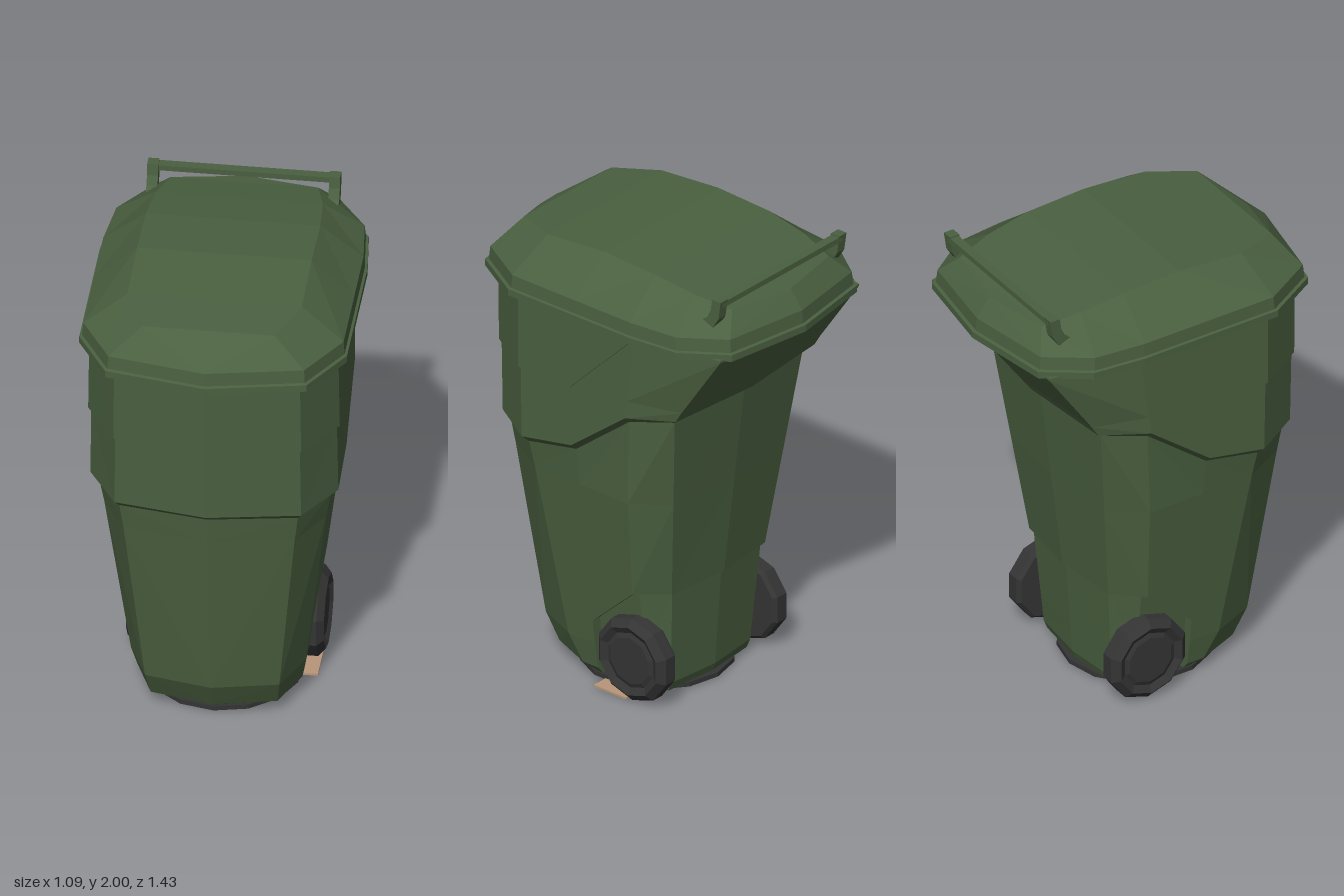
import * as THREE from 'three';

const paint = (name, color) => {
  const m = new THREE.MeshStandardMaterial({ color });
  m.name = name;
  return m;
};

// Linear interpolation through [y, value] pairs
function at(table, y) {
  for (let i = 1; i < table.length; i++) {
    const [y0, v0] = table[i - 1], [y1, v1] = table[i];
    if (y <= y1) return v0 + (v1 - v0) * Math.max(0, (y - y0) / (y1 - y0));
  }
  return table[table.length - 1][1];
}

// Faceted normals for any geometry
function faceted(geometry) {
  const g = geometry.index ? geometry.toNonIndexed() : geometry;
  g.computeVertexNormals();
  return g;
}

// Closed loft: each ring is a half outline from front centre round +x to back centre, mirrored
function loft(halfRings) {
  const rings = halfRings.map(h => {
    const pts = h.map(p => new THREE.Vector3(...p));
    const mirror = pts.slice(1, -1).reverse().map(p => new THREE.Vector3(-p.x, p.y, p.z));
    return [...pts, ...mirror];
  });
  const n = rings[0].length, half = halfRings[0].length, out = [];
  const tri = (a, b, c) => {
    const area = b.clone().sub(a).cross(c.clone().sub(a)).length();
    if (area > 1e-7) for (const p of [a, b, c]) out.push(p.x, p.y, p.z);
  };
  const quad = (a, b, c, d) => { tri(a, b, c); tri(a, c, d); };
  for (let r = 0; r + 1 < rings.length; r++) {
    const lo = rings[r], hi = rings[r + 1];
    for (let i = 0; i < n; i++) {
      const j = (i + 1) % n;
      if (i < n / 2) quad(lo[i], lo[j], hi[j], hi[i]);
      else { tri(lo[i], lo[j], hi[i]); tri(lo[j], hi[j], hi[i]); }
    }
  }
  // Caps are strips running across x
  const top = rings[rings.length - 1], bottom = rings[0];
  for (let i = 0; i + 1 < half; i++) {
    const m = (n - i) % n, k = n - i - 1;
    quad(top[i], top[i + 1], top[k], top[m]);
    quad(bottom[m], bottom[k], bottom[i + 1], bottom[i]);
  }
  const g = new THREE.BufferGeometry();
  g.setAttribute('position', new THREE.Float32BufferAttribute(out, 3));
  return faceted(g);
}

// Body profiles by height
const FRONT = [[0.02, 0.37], [0.06, 0.43], [0.18, 0.49], [1.07, 0.6], [1.42, 0.61], [1.75, 0.615]];
const SIDE = [[0.02, 0.3], [0.06, 0.335], [0.18, 0.355], [0.95, 0.452], [1.07, 0.472], [1.42, 0.467], [1.75, 0.462]];
const BACK = [[0.02, -0.235], [0.06, -0.25], [0.5, -0.282], [1.38, -0.39], [1.42, -0.41], [1.75, -0.635]];
const BACK_X = [[0.02, 0.26], [0.5, 0.29], [1.39, 0.4], [1.75, 0.4]];
const SIDE_BACK = [[0.5, -0.13], [1.37, -0.18], [1.75, -0.23]];

// One body ring: column heights, and how far each column stands out from the profile
function bodyRing(heights, outs) {
  return heights.map((y, i) => {
    const o = Array.isArray(outs) ? outs[i] : outs;
    const ob = Math.max(o, -0.015);
    const f = at(FRONT, y), s = at(SIDE, y), b = at(BACK, y);
    return [
      [0, y, f + o],
      [0.77 * s + 0.5 * o, y, f - 0.06 + 0.8 * o],
      [s + o, y, f - 0.25 + 0.3 * o],
      [s + o, y, 0.1],
      [s + o, y, 0.1],
      [s + o, y, at(SIDE_BACK, y)],
      [at(BACK_X, y) + ob, y, b + 0.03 - 0.7 * ob],
      [0, y, b - ob],
    ][i];
  });
}

function bodyGeometry() {
  const level = y => Array(8).fill(y);
  const well = [0, 0, 0, 0, -0.045, -0.045, -0.045, -0.045];
  const wellEdge = [0.18, 0.18, 0.18, 0.29, 0.29, 0.5, 0.5, 0.5];
  const collarEdge = [1.1, 1.1, 1.1, 1.15, 1.15, 1.37, 1.4, 1.4];
  const panelEdge = [1.42, 1.42, 1.42, 1.42, 1.42, 1.75, 1.75, 1.75];
  const flareEdge = [1.42, 1.42, 1.42, 1.42, 1.42, 1.45, 1.45, 1.45];
  const collar = 0.033, panel = 0.045;
  return loft([
    bodyRing(level(0.02), well),
    bodyRing(level(0.06), well),
    bodyRing(level(0.18), well),
    bodyRing(wellEdge, well),
    bodyRing(wellEdge, 0),
    bodyRing(level(0.95), 0),
    bodyRing(collarEdge.map(y => y - 0.03), 0),
    bodyRing(collarEdge, collar),
    bodyRing(flareEdge, collar),
    bodyRing(panelEdge, collar),
    bodyRing(panelEdge, [panel, panel, panel, panel, panel, panel, collar, collar]),
    bodyRing(level(1.76), [panel, panel, panel, panel, panel, panel, collar, collar]),
  ]);
}

function lidGeometry() {
  const outline = [[0, 0.715], [0.41, 0.635], [0.545, 0.4], [0.545, 0.06],
    [0.545, -0.24], [0.52, -0.47], [0.39, -0.655], [0, -0.715]];
  const rim = (y, s) => outline.map(([x, z]) => [x * s, y, z * s]);
  const crown = [[0, 1.915, 0.61], [0.27, 1.95, 0.545], [0.355, 1.97, 0.35], [0.355, 1.995, 0.05],
    [0.355, 1.983, -0.22], [0.34, 1.955, -0.42], [0.3, 1.925, -0.58], [0, 1.92, -0.635]];
  return loft([rim(1.75, 1), rim(1.78, 1), rim(1.783, 0.98), rim(1.84, 0.972), crown]);
}

export function createModel() {
  const green = paint('bin green', 0x4a6040);
  const black = paint('rubber black', 0x343435);
  const tan = paint('pedal tan', 0xb8977a);
  const model = new THREE.Group();
  model.name = 'wheeledBin';

  const add = (name, geometry, material, x = 0, y = 0, z = 0) => {
    const mesh = new THREE.Mesh(geometry, material);
    mesh.name = name;
    mesh.position.set(x, y, z);
    model.add(mesh);
    return mesh;
  };

  add('body', bodyGeometry(), green);
  add('lid', lidGeometry(), green);

  // Handle: two curved posts and a bar
  const postShape = new THREE.Shape([[0.49, 1.885], [0.55, 1.865], [0.585, 1.92], [0.597, 2], [0.552, 2],
    [0.545, 1.95], [0.525, 1.91]].map(([z, y]) => new THREE.Vector2(z, y)));
  const post = new THREE.ExtrudeGeometry(postShape, { depth: 0.045, bevelEnabled: false });
  post.rotateY(Math.PI / 2);
  for (const side of [1, -1])
    add('handlePost', post, green, side * 0.37 - 0.0225, 0, 0).name = side > 0 ? 'leftHandlePost' : 'rightHandlePost';
  add('handleBar', new THREE.BoxGeometry(0.74, 0.024, 0.04), green, 0, 1.982, -0.575);

  // Wheels with a recessed hub
  const tyre = [[0, 0], [0.172, 0], [0.187, 0.015], [0.187, 0.07], [0.155, 0.098], [0.145, 0.092],
    [0.125, 0.08], [0.105, 0.088], [0, 0.088]].map(([r, h]) => new THREE.Vector2(r, h));
  const wheel = faceted(new THREE.LatheGeometry(tyre, 10, Math.PI / 10));
  for (const side of [1, -1]) {
    const w = add(side > 0 ? 'leftWheel' : 'rightWheel', wheel, black, side * 0.305, 0.19, -0.115);
    w.rotation.z = -side * Math.PI / 2;
  }
  const axle = add('axle', new THREE.CylinderGeometry(0.03, 0.03, 0.62, 10), black, 0, 0.19, -0.115);
  axle.rotation.z = Math.PI / 2;

  // Base disc and pedal plate
  add('base', faceted(new THREE.CylinderGeometry(0.32, 0.32, 0.02, 14)), black, 0, 0.014, 0.07);
  add('pedal', new THREE.BoxGeometry(0.39, 0.009, 0.17), tan, 0.19, 0.0045, -0.005);

  return model;
}
